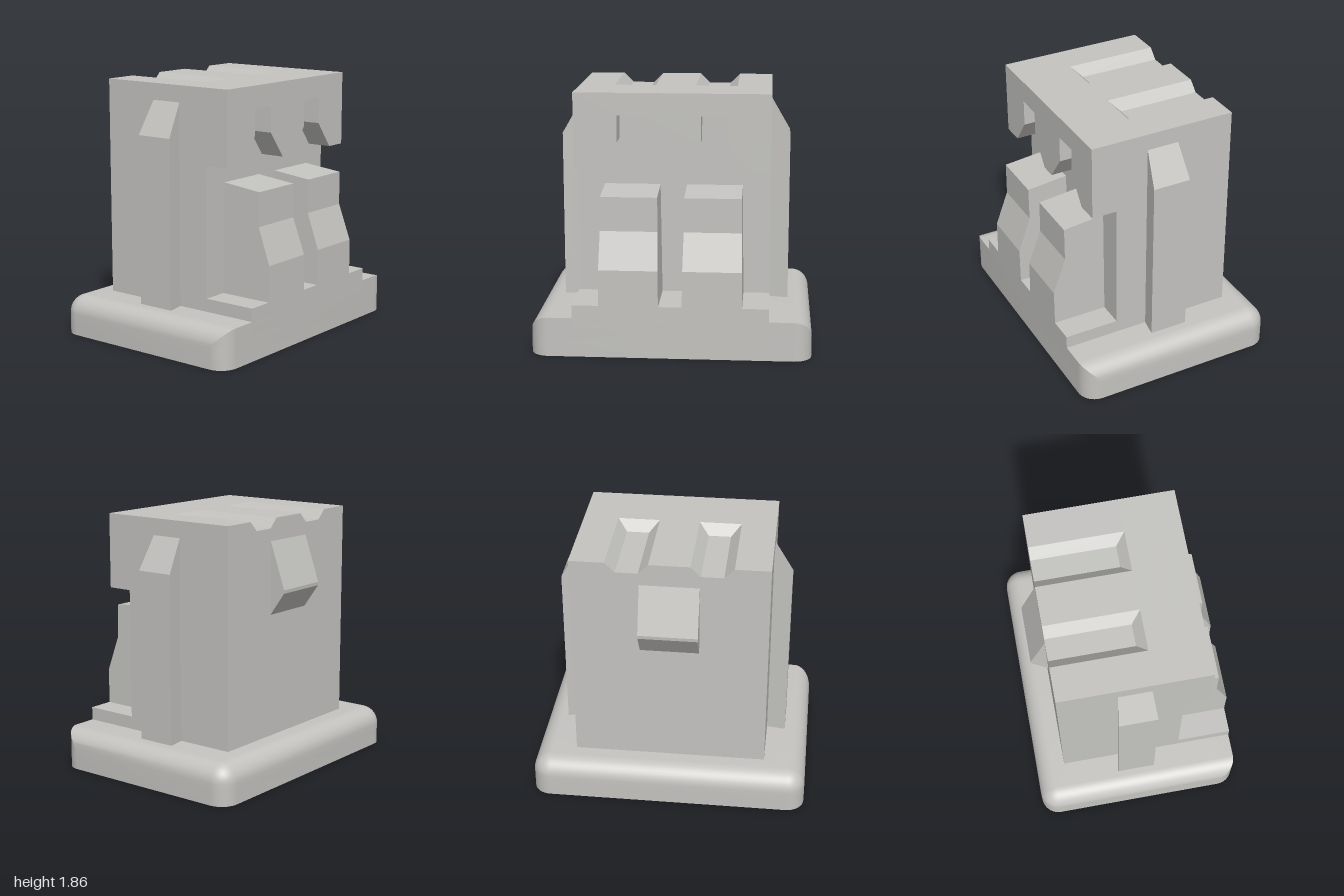
import * as THREE from 'three';
import { toCreasedNormals } from 'three/addons/utils/BufferGeometryUtils.js';
import { ConvexGeometry } from 'three/addons/geometries/ConvexGeometry.js';

const grey = new THREE.MeshStandardMaterial({ color: 0xc4c3c0 });
grey.name = 'light grey plastic';

const BASE_H = 0.285, HALF_Z = 0.755, R = 0.13, POCKET = 0.11;
const BODY_X = 0.695, BACK = -0.54, STEP = 0.355, FRONT = 0.54, TOP = 1.86;

const shapeOf = (pts) => new THREE.Shape(pts.map(([x, y]) => new THREE.Vector2(x, y)));

// Extrude an x/y outline from z0 to z1
const frontExtrude = (pts, z0, z1) =>
  new THREE.ExtrudeGeometry(shapeOf(pts), { depth: z1 - z0, bevelEnabled: false }).translate(0, 0, z0);

// Extrude a z/y outline across a width centred on x = 0
const sideExtrude = (pts, width) =>
  new THREE.ExtrudeGeometry(shapeOf(pts), { depth: width, bevelEnabled: false })
    .rotateY(-Math.PI / 2).translate(width / 2, 0, 0);

const hull = (pts) => new ConvexGeometry(pts.map((p) => new THREE.Vector3(...p)));

// Plan outline of the base, inset by t at the sides and back but not at the front
function baseRing(t) {
  const n = 10, cx = 1 - R, cz = HALF_Z - R, a0 = Math.acos((R - t) / R), ring = [];
  const arc = (x, z, r, from, to) => {
    for (let i = 0; i <= n; i++) {
      const a = from + ((to - from) * i) / n;
      ring.push([x + r * Math.cos(a), z + r * Math.sin(a)]);
    }
  };
  arc(cx, cz, R, a0, Math.PI / 2);
  arc(-cx, cz, R, Math.PI / 2, Math.PI - a0);
  arc(-cx, -cz, R - t, Math.PI, Math.PI * 1.5);
  arc(cx, -cz, R - t, Math.PI * 1.5, Math.PI * 2);
  return ring;
}

// Upper base: stacked rings forming the rounded shoulder
function baseTopGeometry() {
  const layers = [[POCKET, 0]];
  for (let i = 0; i <= 10; i++) {
    const a = (i / 10) * Math.PI / 2;
    layers.push([BASE_H - R + R * Math.sin(a), R * (1 - Math.cos(a))]);
  }
  const pos = [], idx = [];
  let n = 0;
  for (const [y, t] of layers) {
    const ring = baseRing(t);
    n = ring.length;
    for (const [x, z] of ring) pos.push(x, y, z);
  }
  const last = (layers.length - 1) * n, low = layers.length * n, high = low + 1;
  pos.push(0, POCKET, 0, 0, BASE_H, 0);
  for (let i = 0; i < n; i++) {
    const j = (i + 1) % n;
    for (let k = 0; k < last; k += n) {
      idx.push(k + i, k + n + i, k + j, k + j, k + n + i, k + n + j);
    }
    idx.push(low, i, j, high, last + j, last + i);
  }
  const g = new THREE.BufferGeometry();
  g.setAttribute('position', new THREE.Float32BufferAttribute(pos, 3));
  g.setIndex(idx);
  return toCreasedNormals(g, 0.5);
}

// Lower base: slab pierced by the two underside pockets
function baseBottomGeometry() {
  const shape = shapeOf(baseRing(0));
  for (const c of [-0.3, 0.3]) {
    const w = 0.265, t = 0.135;
    shape.holes.push(shapeOf([
      [c - w, -0.35], [c - t, -0.35], [c - t, -0.44], [c + t, -0.44], [c + t, -0.35], [c + w, -0.35],
      [c + w, 0.38], [c + t, 0.38], [c + t, 0.555], [c - t, 0.555], [c - t, 0.38], [c - w, 0.38],
    ]));
  }
  const g = new THREE.ExtrudeGeometry(shape, { depth: POCKET, bevelEnabled: false });
  return toCreasedNormals(g.rotateX(Math.PI / 2).translate(0, POCKET, 0), 0.5);
}

export function createModel() {
  const group = new THREE.Group();
  const add = (name, geometry, x = 0) => {
    const mesh = new THREE.Mesh(geometry, grey);
    mesh.name = name;
    mesh.position.x = x;
    group.add(mesh);
  };

  add('baseShoulder', baseTopGeometry());
  add('baseSlab', baseBottomGeometry());

  // Rear body with two tapered grooves in its top
  const floor = TOP - 0.07, grooveEnd = 0.135;
  const outline = [[-BODY_X, BASE_H], [BODY_X, BASE_H], [BODY_X, TOP]];
  for (const c of [0.295, -0.295]) {
    outline.push([c + 0.15, TOP], [c + 0.08, floor], [c - 0.08, floor], [c - 0.15, TOP]);
  }
  outline.push([-BODY_X, TOP]);
  add('rearBody', frontExtrude(outline, BACK, grooveEnd));
  for (const c of [-0.295, 0.295]) {
    add('grooveEndRamp', hull([-1, 1].flatMap((s) => [
      [s * 0.08, floor, grooveEnd - 0.07], [s * 0.08, floor, grooveEnd], [s * 0.15, TOP, grooveEnd],
    ])), c);
  }

  // Solid middle of the body
  add('middleBody', frontExtrude(
    [[-BODY_X, BASE_H], [BODY_X, BASE_H], [BODY_X, TOP], [-BODY_X, TOP]], grooveEnd, STEP));

  // Front overhang with two keyhole notches in its lower edge
  const over = [[BODY_X, TOP], [-BODY_X, TOP], [-BODY_X, 1.32]];
  for (const c of [-0.295, 0.295]) {
    over.push([c - 0.238, 1.32], [c - 0.093, 1.51], [c - 0.093, 1.7],
      [c + 0.093, 1.7], [c + 0.093, 1.51], [c + 0.238, 1.32]);
  }
  over.push([BODY_X, 1.32]);
  add('frontOverhang', frontExtrude(over, STEP, FRONT));

  // Low plinth and the two sloping front blocks
  add('frontPlinth', frontExtrude(
    [[-BODY_X, 0.2], [BODY_X, 0.2], [BODY_X, 0.38], [-BODY_X, 0.38]], STEP, HALF_Z));
  const block = sideExtrude([[STEP, 0.3], [HALF_Z, 0.3], [HALF_Z, 0.64], [0.66, 0.9],
    [0.66, 1.145], [STEP, 1.178]], 0.4);
  const p = block.attributes.position;
  for (let i = 0; i < p.count; i++) p.setX(i, p.getX(i) * (1 + (1.178 - p.getY(i)) * 0.075));
  block.computeVertexNormals();
  for (const c of [-0.295, 0.295]) add('frontBlock', block, c);

  // Dovetail ribs on both sides
  for (const s of [-1, 1]) {
    add(s > 0 ? 'leftRib' : 'rightRib', hull([-1, 1].flatMap((k) => [
      [s * BODY_X, 0.28, k * 0.118], [s * 0.83, 0.28, k * 0.14],
      [s * 0.83, 1.505, k * 0.14], [s * BODY_X, 1.74, k * 0.118],
    ])));
  }

  // Latch wedge on the back
  add('backLatch', sideExtrude(
    [[BACK, 1.7], [-0.658, 1.365], [-0.656, 1.34], [BACK, 1.175]], 0.42));

  return group;
}
